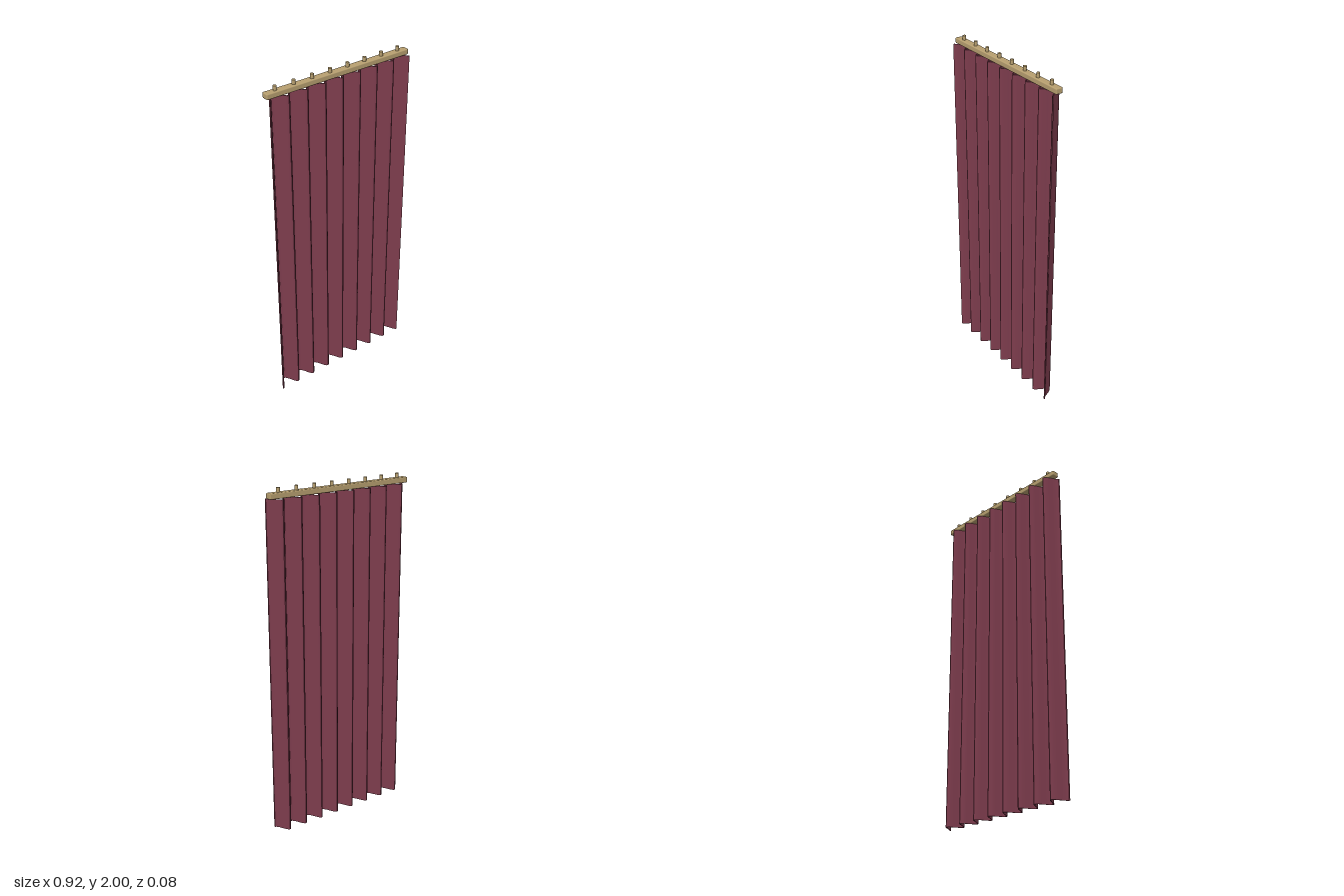
import * as THREE from 'three';
import { toCreasedNormals } from 'three/addons/utils/BufferGeometryUtils.js';
import { RoundedBoxGeometry } from 'three/addons/geometries/RoundedBoxGeometry.js';

const FOLDS = 8, PITCH = 0.114, HALF = FOLDS * PITCH / 2;

export function createModel() {
  const group = new THREE.Group();
  const fabric = new THREE.MeshStandardMaterial({ color: 0x7d3c4d });
  const wood = new THREE.MeshStandardMaterial({ color: 0xb8a070 });

  const add = (name, geometry, material, x, y, z) => {
    const mesh = new THREE.Mesh(geometry, material);
    mesh.name = name;
    mesh.position.set(x, y, z);
    group.add(mesh);
  };

  // Pleated curtain: a thin wavy cross-section extruded upwards
  const steps = FOLDS * 16;
  const front = [], back = [];
  for (let i = 0; i <= steps; i++) {
    const x = -HALF + 2 * HALF * i / steps;
    const z = 0.0375 * Math.cos(2 * Math.PI * (x + HALF) / PITCH);
    front.push(new THREE.Vector2(x, -z - 0.004));
    back.unshift(new THREE.Vector2(x, -z + 0.004));
  }
  const cloth = new THREE.ExtrudeGeometry(new THREE.Shape([...front, ...back]), {
    depth: 1.942, bevelEnabled: false,
  });
  cloth.rotateX(-Math.PI / 2);
  add('curtain', toCreasedNormals(cloth, 0.7), fabric, 0, 0, 0);

  // Rail with softened edges
  add('rail', new RoundedBoxGeometry(0.922, 0.032, 0.043, 2, 0.006), wood, 0, 1.959, 0.003);

  // Hanging pegs, one above each fold
  const peg = new THREE.CylinderGeometry(0.01, 0.01, 0.035, 16);
  for (let i = 0; i < FOLDS; i++) {
    add('peg', peg, wood, (i - (FOLDS - 1) / 2) * PITCH, 1.9825, 0.003);
  }
  return group;
}
